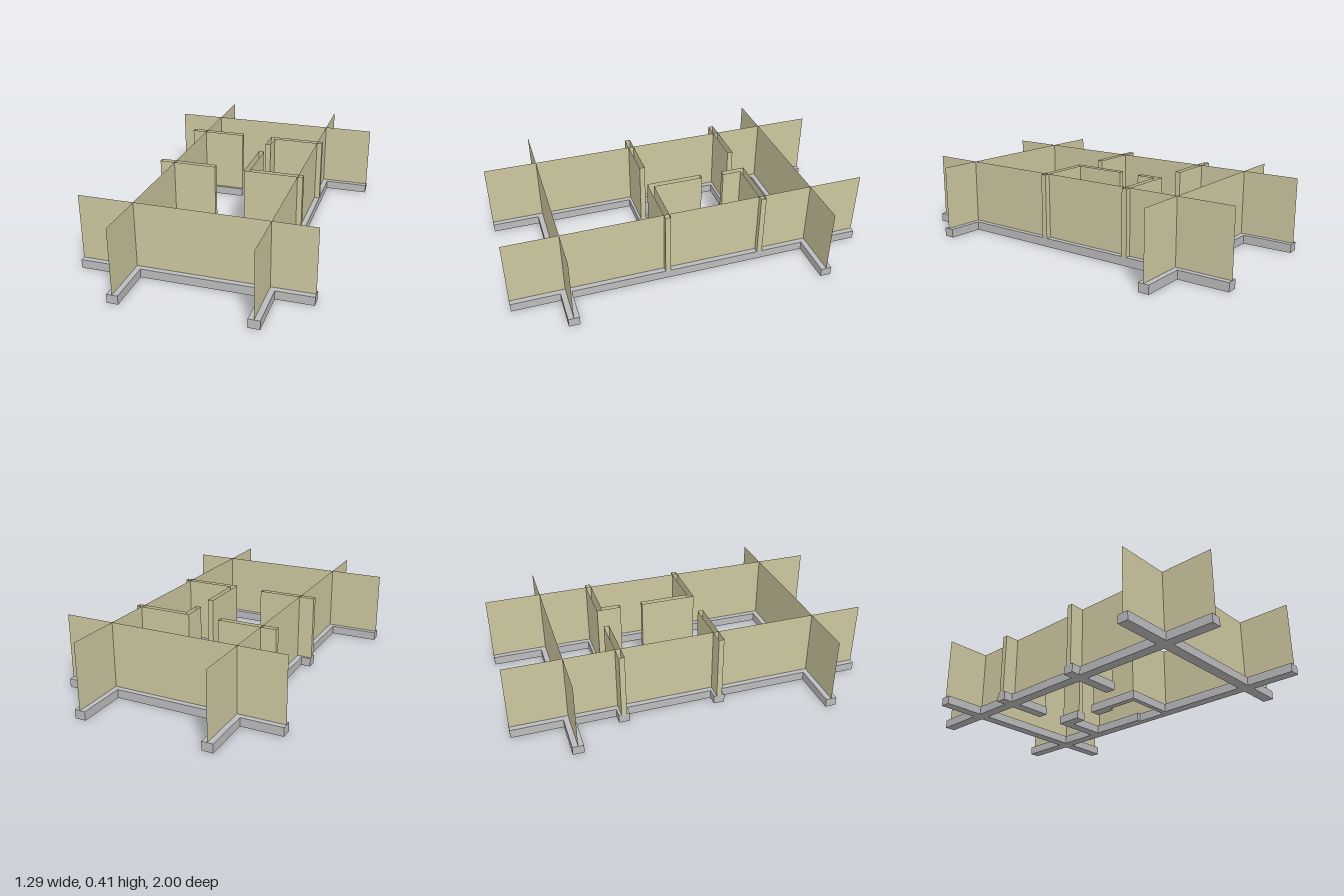
import * as THREE from 'three';

const BASE = 0.048, TOP = 0.408, HALF = 0.015;

export function createModel() {
  const model = new THREE.Group();
  model.name = 'foundationAndWalls';
  const concrete = new THREE.MeshStandardMaterial({ color: 0xbcbcbe });
  concrete.name = 'concrete grey';
  const plaster = new THREE.MeshStandardMaterial({ color: 0xccc79f, side: THREE.DoubleSide });
  plaster.name = 'plaster olive';

  // Footing strip covering a rectangle on the ground
  const footing = (name, x0, x1, z0, z1) => {
    const mesh = new THREE.Mesh(new THREE.BoxGeometry(x1 - x0, BASE, z1 - z0), concrete);
    mesh.position.set((x0 + x1) / 2, BASE / 2, (z0 + z1) / 2);
    mesh.name = name;
    model.add(mesh);
  };

  // Upright sheet following [x, z] points, open at top and bottom
  const sheet = (name, points) => {
    const pos = [];
    for (let i = 0; i + 1 < points.length; i++) {
      const [ax, az] = points[i], [bx, bz] = points[i + 1];
      pos.push(ax, BASE, az, bx, BASE, bz, bx, TOP, bz);
      pos.push(ax, BASE, az, bx, TOP, bz, ax, TOP, az);
    }
    const geo = new THREE.BufferGeometry();
    geo.setAttribute('position', new THREE.Float32BufferAttribute(pos, 3));
    geo.computeVertexNormals();
    const mesh = new THREE.Mesh(geo, plaster);
    mesh.name = name;
    model.add(mesh);
  };

  // Hollow partition: a closed outline
  const hollow = (name, points) => sheet(name, [...points, points[0]]);

  // Long footings, the right-hand one notched beside the small room
  footing('rightLongFooting', -0.375, -0.315, -1, 1);
  footing('leftLongFootingBack', 0.335, 0.395, -1, -0.04);
  footing('leftLongFootingNotch', 0.355, 0.395, -0.04, 0.14);
  footing('leftLongFootingFront', 0.335, 0.395, 0.14, 1);

  // Cross footings
  footing('backFooting', -0.605, 0.645, -0.72, -0.66);
  footing('frontFooting', -0.65, 0.595, 0.675, 0.735);

  // Partition footings
  footing('partitionFootingBack', -0.43, -0.105, -0.435, -0.375);
  footing('partitionFootingFront', -0.43, -0.105, 0.105, 0.165);
  footing('cornerFooting', 0.057, 0.335, -0.43, -0.37);
  footing('cornerFootingReturn', 0.057, 0.117, -0.37, -0.28);
  footing('roomFootingEnd', 0.05, 0.11, -0.155, -0.04);
  footing('roomFootingSide', 0.05, 0.085, -0.04, 0.14);
  footing('roomFootingFront', 0.05, 0.335, 0.14, 0.17);

  // Main walls are single sheets
  sheet('rightLongWall', [[-0.345, 1], [-0.345, -1]]);
  sheet('leftLongWall', [[0.365, 1], [0.365, -1]]);
  sheet('backWall', [[-0.605, -0.69], [0.645, -0.69]]);
  sheet('frontWall', [[-0.65, 0.705], [0.595, 0.705]]);

  // Straight hollow partitions
  for (const [name, z] of [['partitionBack', -0.405], ['partitionFront', 0.135]]) {
    hollow(name, [[-0.43, z - HALF], [-0.43, z + HALF], [-0.105, z + HALF], [-0.105, z - HALF]]);
  }

  // L-shaped hollow partitions: corner at (x, z), return ending at zEnd
  const corner = (name, x, z, zEnd) => {
    const s = Math.sign(zEnd - z) * HALF;
    hollow(name, [
      [0.395, z - s], [x - HALF, z - s], [x - HALF, zEnd],
      [x + HALF, zEnd], [x + HALF, z + s], [0.395, z + s],
    ]);
  };
  corner('cornerPartition', 0.087, -0.4, -0.28);
  corner('roomPartition', 0.08, 0.14, -0.155);

  return model;
}
